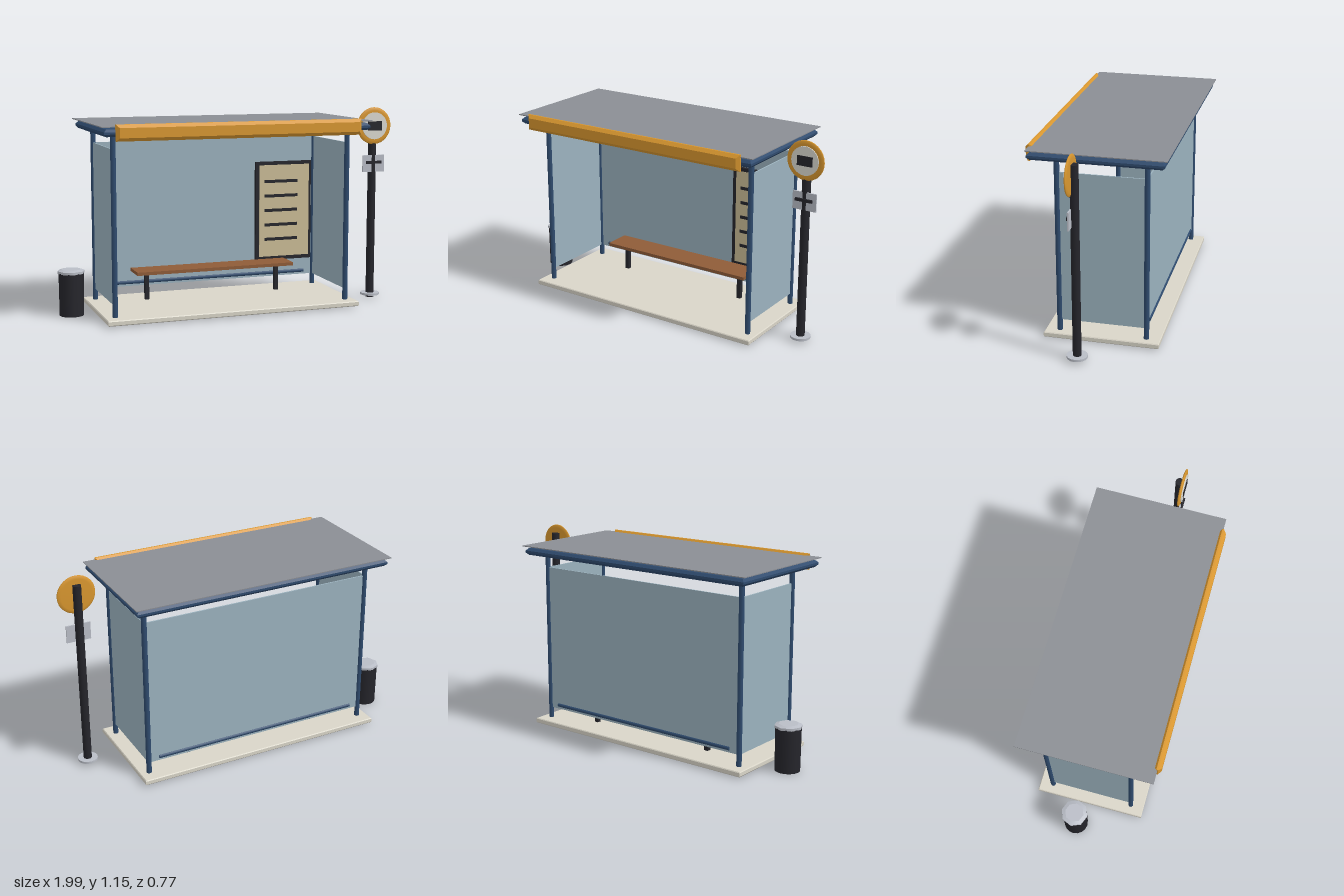
import * as THREE from 'three';

const mat = (color, extra = {}) => new THREE.MeshStandardMaterial({ color, ...extra });
const blue = mat(0x2f4b6e), glass = mat(0x9bb2be, { side: THREE.DoubleSide }), gold = mat(0xd9972f);
const dark = mat(0x25252b), silver = mat(0xb9bdc6), wood = mat(0x8f5c38), stone = mat(0xd9d5c8);
const roofGrey = mat(0x8b8e94), cream = mat(0xcbbd97), white = mat(0xdcdad2);

export function createModel() {
  const root = new THREE.Group();

  const add = (name, geometry, material, x, y, z, parent = root) => {
    const mesh = new THREE.Mesh(geometry, material);
    mesh.name = name;
    mesh.position.set(x, y, z);
    parent.add(mesh);
    return mesh;
  };
  // Box given by its extents along each axis
  const box = (name, material, [x0, x1], [y0, y1], [z0, z1], parent) =>
    add(name, new THREE.BoxGeometry(x1 - x0, y1 - y0, z1 - z0), material,
      (x0 + x1) / 2, (y0 + y1) / 2, (z0 + z1) / 2, parent);
  // Block w x h x d whose outline edges are chamfered (size across, thick along z)
  const chamferBlock = (w, h, d, size, thick) => {
    const a = w / 2 - size, b = h / 2 - size;
    const shape = new THREE.Shape([[-a, -b], [a, -b], [a, b], [-a, b]].map(p => new THREE.Vector2(...p)));
    return new THREE.ExtrudeGeometry(shape, {
      depth: d - 2 * thick, bevelEnabled: true, bevelSize: size, bevelThickness: thick, bevelSegments: 1,
    }).translate(0, 0, thick - d / 2);
  };
  const group = name => {
    const g = new THREE.Group();
    g.name = name;
    root.add(g);
    return g;
  };

  // Floor slab
  add('floorSlab', chamferBlock(1.495, 0.643, 0.03, 0.004, 0.005).rotateX(-Math.PI / 2), stone, -0.052, 0.021, -0.022);

  // Corner posts and side glass
  for (const [x, side] of [[-0.741, 'right'], [0.642, 'left']]) {
    for (const [z, end] of [[0.22, 'Front'], [-0.266, 'Back']])
      add(side + end + 'Post', new THREE.CylinderGeometry(0.015, 0.015, 1, 8).rotateY(Math.PI / 8), blue, x, 0.535, z);
    box(side + 'Glass', glass, [x - 0.004, x + 0.004], [0.1, 0.96], [-0.255, 0.207]);
  }

  // Back glass with its bottom rail
  box('backGlass', glass, [-0.727, 0.628], [0.1, 0.96], [-0.27, -0.262]);
  add('bottomRail', new THREE.CylinderGeometry(0.012, 0.012, 1.26, 8).rotateZ(Math.PI / 2), blue, -0.05, 0.122, -0.266);

  // Roof: chamfered frame, thin top sheet, front fascia
  add('roofFrame', chamferBlock(1.54, 0.73, 0.04, 0.014, 0.014).rotateX(-Math.PI / 2), blue, -0.05, 1.058, -0.005);
  box('roofSheet', roofGrey, [-0.835, 0.73], [1.089, 1.094], [-0.385, 0.365]);
  add('fascia', chamferBlock(1.42, 0.09, 0.042, 0.018, 0.016), gold, -0.05, 1.06, 0.364);

  // Bench
  const bench = group('bench');
  box('benchSeat', wood, [-0.535, 0.435], [0.196, 0.215], [-0.235, -0.075], bench);
  for (const x of [-0.457, 0.357])
    box('benchLeg', dark, [x - 0.012, x + 0.012], [0.035, 0.198], [-0.178, -0.153], bench);

  // Notice board on the back glass
  const board = group('noticeBoard');
  box('boardFrame', dark, [0.255, 0.617], [0.205, 0.812], [-0.261, -0.24], board);
  box('boardSheet', cream, [0.277, 0.602], [0.228, 0.792], [-0.25, -0.237], board);
  for (let i = 0; i < 5; i++) {
    const y = 0.336 + i * 0.089;
    box('boardLine', dark, [0.31, 0.525], [y - 0.009, y + 0.009], [-0.24, -0.233], board);
  }

  // Stop sign pole with foot
  const stop = group('stopSign');
  const px = 0.884, pz = 0.057;
  add('signPole', new THREE.CylinderGeometry(0.024, 0.024, 1.1, 12), dark, px, 0.55, pz, stop);
  add('poleFoot', new THREE.CylinderGeometry(0.057, 0.057, 0.013, 16), silver, px, 0.021, pz, stop);

  // Round sign with a bulging rim
  const rim = [[0, -0.008], [0.09, -0.008], [0.106, -0.004], [0.11, 0], [0.106, 0.004], [0.09, 0.008], [0, 0.008]];
  add('signDisc', new THREE.LatheGeometry(rim.map(p => new THREE.Vector2(...p)), 28).rotateX(Math.PI / 2),
    gold, px, 1.04, 0.076, stop);
  add('signFace', new THREE.CylinderGeometry(0.08, 0.08, 0.01, 28).rotateX(Math.PI / 2), white, px, 1.04, 0.084, stop);
  box('signPanel', dark, [0.84, 0.93], [1.013, 1.067], [0.085, 0.093], stop);

  // Small plate below the sign
  box('routePlate', silver, [0.815, 0.955], [0.765, 0.865], [0.07, 0.078], stop);
  box('plateBar', dark, [0.834, 0.934], [0.814, 0.83], [0.076, 0.089], stop);

  // Litter bin
  const bin = group('litterBin');
  add('binBody', new THREE.CylinderGeometry(0.072, 0.07, 0.245, 16), dark, -0.923, 0.1225, -0.07, bin);
  add('binLidRim', new THREE.CylinderGeometry(0.077, 0.077, 0.014, 8), silver, -0.923, 0.249, -0.07, bin);
  add('binLidTop', new THREE.CylinderGeometry(0.055, 0.077, 0.008, 8), silver, -0.923, 0.26, -0.07, bin);

  return root;
}
